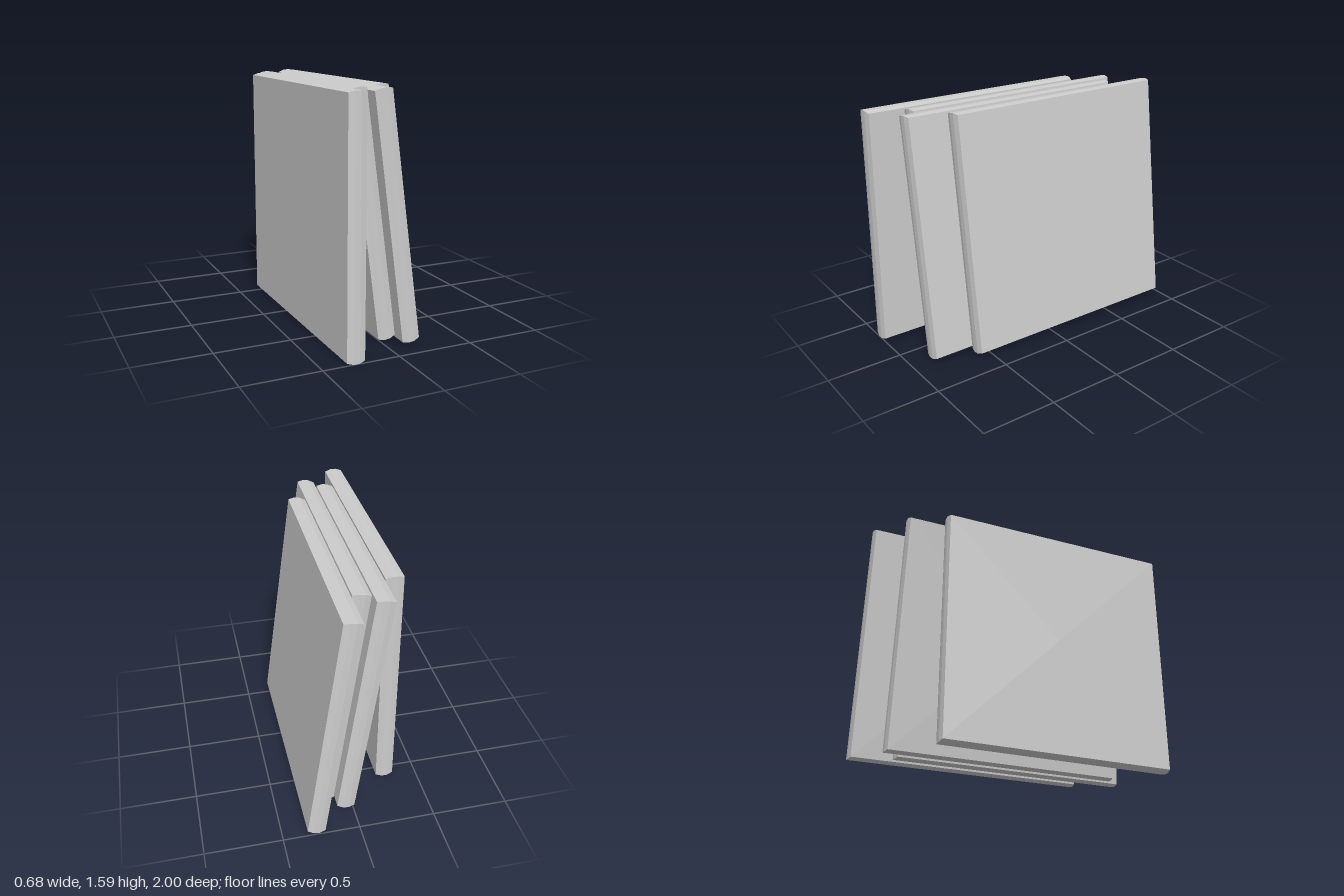
import * as THREE from 'three';

const THICKNESS = 0.117;
const FACE = 0.784;   // half-size of the flat square faces
const BULGE = 0.794;  // half-size at the middle of the rounded edges

// Square slab lying in the yz plane, with faceted, slightly bulging edges
function slabGeometry() {
  const t = THICKNESS / 2;
  const profile = [[0, -t], [FACE, -t], [BULGE, -t / 3], [BULGE, t / 3], [FACE, t], [0, t]]
    .map(([r, y]) => new THREE.Vector2(r * Math.SQRT2, y));
  const geometry = new THREE.LatheGeometry(profile, 4).toNonIndexed();
  geometry.rotateY(Math.PI / 4);
  geometry.rotateZ(Math.PI / 2);
  geometry.computeVertexNormals();
  return geometry;
}

export function createModel() {
  const group = new THREE.Group();
  group.name = 'leaningSlabs';

  const grey = new THREE.MeshStandardMaterial({ color: 0xcccccc });
  grey.name = 'light grey';
  const geometry = slabGeometry();
  const lean = Math.atan2(0.212, 1.552);

  // One upright slab, and three leaning against it
  const slabs = [
    ['uprightSlab', -0.283, 0.794, 0.206, 0],
    ['innerLeaningSlab', -0.0585, 0.7975, -0.034, lean],
    ['middleLeaningSlab', 0.0585, 0.7975, 0.064, lean],
    ['outerLeaningSlab', 0.1755, 0.7975, -0.206, lean],
  ];
  for (const [name, x, y, z, tilt] of slabs) {
    const slab = new THREE.Mesh(geometry, grey);
    slab.name = name;
    slab.position.set(x, y, z);
    slab.rotation.z = tilt;
    group.add(slab);
  }
  return group;
}
